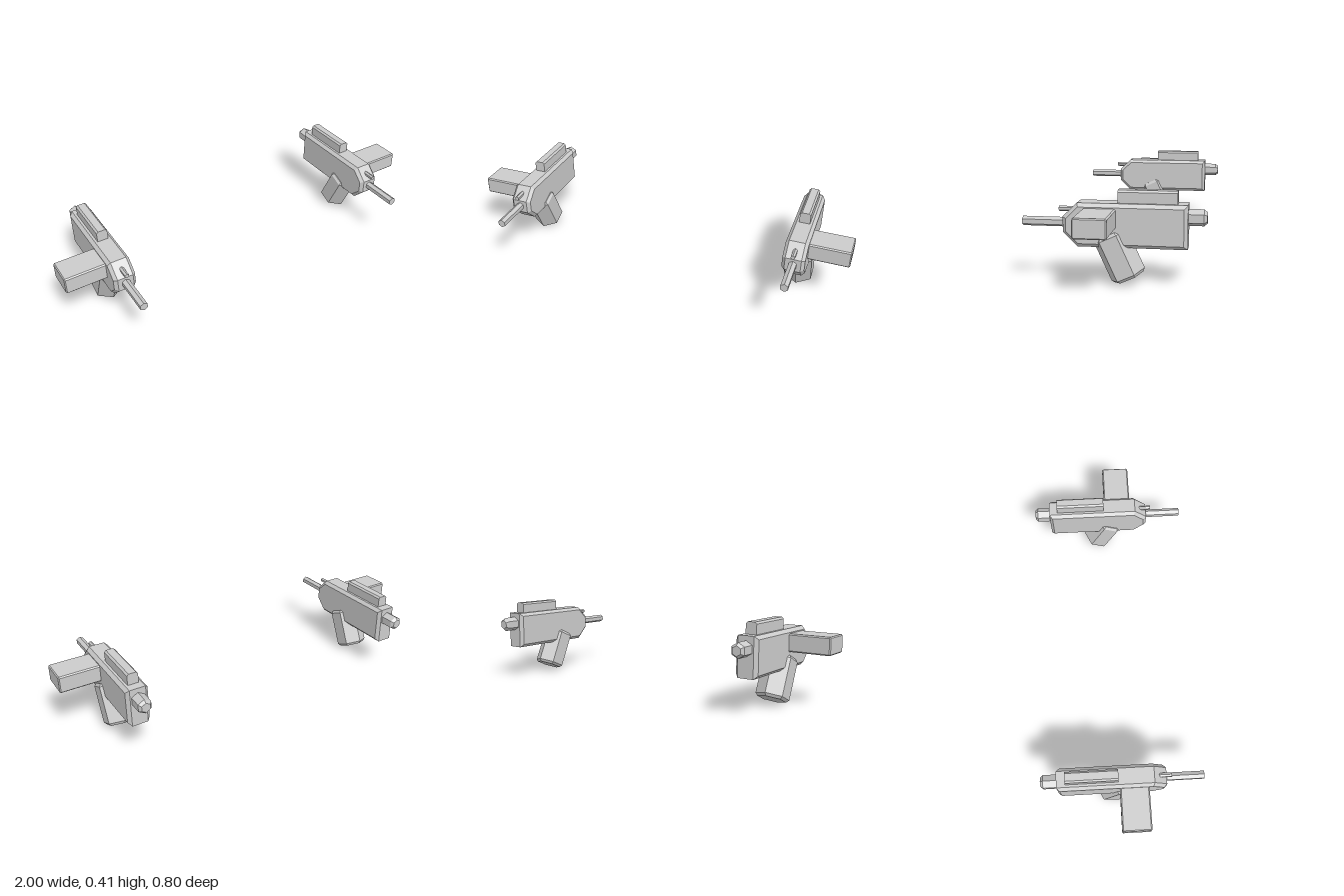
import * as THREE from 'three';

const material = new THREE.MeshStandardMaterial({ color: 0xcccccc, flatShading: true });

function addMesh(parent, name, geometry) {
  const mesh = new THREE.Mesh(geometry, material);
  mesh.name = name;
  parent.add(mesh);
  return mesh;
}

// Six-sided turned part; each point is [radius, distance along y]
function hexTurned(points) {
  return new THREE.LatheGeometry(points.map(([r, h]) => new THREE.Vector2(r, h)), 6);
}

// Chamfered slab from a [z, y] outline, spanning x0 to x1
function chamferedSlab(outline, x0, x1, bevel) {
  const shape = new THREE.Shape(outline.map(([z, y]) => new THREE.Vector2(z, y)));
  const geometry = new THREE.ExtrudeGeometry(shape, {
    depth: x1 - x0 - 2 * bevel, bevelEnabled: true, bevelSegments: 1,
    bevelSize: bevel, bevelThickness: bevel, bevelOffset: -bevel,
  });
  geometry.rotateY(-Math.PI / 2);
  return geometry.translate(x1 - bevel, 0, 0);
}

function createBlaster(side) {
  const gun = new THREE.Group();

  // Main body with a clipped nose
  addMesh(gun, 'body', chamferedSlab([
    [0.215, 0.232], [0.215, 0.3], [0.152, 0.361], [-0.322, 0.361],
    [-0.322, 0.17], [0.152, 0.17],
  ], -0.055, 0.055, 0.016));

  // Barrel, thin upper rod and rear plug lie along z
  const rods = [
    ['barrel', 0.268, [[0, 0.15], [0.021, 0.15], [0.021, 0.402], [0, 0.402]]],
    ['upperRod', 0.327, [[0, 0.1], [0.0115, 0.1], [0.0115, 0.239], [0, 0.239]]],
    ['rearPlug', 0.303, [[0, -0.402], [0.024, -0.402], [0.0365, -0.388], [0.0365, -0.3], [0, -0.3]]],
  ];
  for (const [name, y, points] of rods) {
    addMesh(gun, name, hexTurned(points).rotateX(Math.PI / 2).translate(0, y, 0));
  }

  // Tilted hexagonal grip with chamfered ends
  const grip = addMesh(gun, 'grip', hexTurned([
    [0, -0.106], [0.068, -0.106], [0.08, -0.093], [0.08, 0.093], [0.068, 0.106], [0, 0.106],
  ]));
  grip.rotation.x = THREE.MathUtils.degToRad(24.5);
  grip.position.set(0, 0.128, -0.0235);

  // Top sight block with chamfered upper edges
  const sight = new THREE.Shape([
    [-0.027, 0.35], [0.027, 0.35], [0.027, 0.408], [0.018, 0.417], [-0.018, 0.417], [-0.027, 0.408],
  ].map(([x, y]) => new THREE.Vector2(x, y)));
  addMesh(gun, 'sight', new THREE.ExtrudeGeometry(sight, { depth: 0.256, bevelEnabled: false })
    .translate(0, 0, -0.278));

  // Side magazine pointing outward
  const [z0, z1, y0, y1, c] = [-0.017, 0.126, 0.254, 0.34, 0.006];
  const outline = [
    [z0 + c, y0], [z1 - c, y0], [z1, y0 + c], [z1, y1 - c],
    [z1 - c, y1], [z0 + c, y1], [z0, y1 - c], [z0, y0 + c],
  ];
  const [a, b] = side > 0 ? [0.02, 0.257] : [-0.257, -0.02];
  addMesh(gun, 'magazine', chamferedSlab(outline, a, b, 0.005));

  gun.position.x = side * 0.743;
  return gun;
}

export function createModel() {
  const model = new THREE.Group();
  model.name = 'blasterPair';
  for (const side of [1, -1]) {
    const gun = createBlaster(side);
    gun.name = side > 0 ? 'leftBlaster' : 'rightBlaster';
    model.add(gun);
  }
  return model;
}
